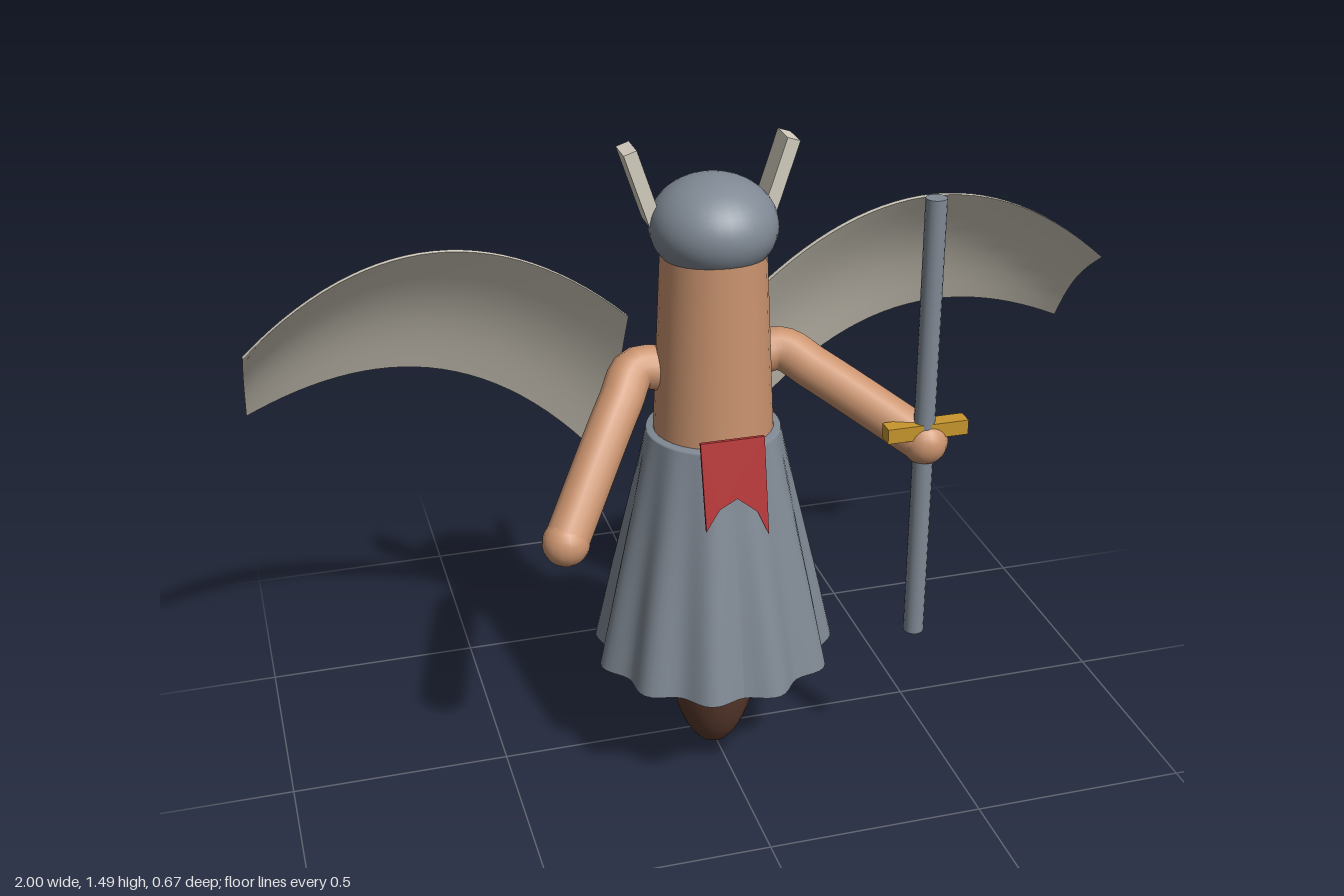
import * as THREE from 'three';

const paint = (name, color, extra = {}) => {
  const m = new THREE.MeshStandardMaterial({ color, ...extra });
  m.name = name;
  return m;
};
const V = (x, y, z) => new THREE.Vector3(x, y, z);

// Move every vertex of a geometry by a rule, then refresh its normals
function reshape(geo, rule, keepNormals = false) {
  const pos = geo.attributes.position;
  const v = new THREE.Vector3();
  for (let i = 0; i < pos.count; i++) {
    v.fromBufferAttribute(pos, i);
    rule(v);
    pos.setXYZ(i, v.x, v.y, v.z);
  }
  if (!keepNormals) geo.computeVertexNormals();
  return geo;
}

export function createModel() {
  const group = new THREE.Group();
  const skin = paint('skin', 0xcc9570);
  const steel = paint('steel', 0x808994);
  const cloth = paint('skirt cloth', 0x808994, { side: THREE.DoubleSide });
  const cream = paint('cream', 0xd5cfc1);
  const red = paint('red cloth', 0xb43234, { side: THREE.DoubleSide });
  const gold = paint('gold', 0xc8962e);
  const brown = paint('dark brown', 0x5a3a2d);
  const CX = -0.006, CZ = 0.058;

  const add = (name, geo, mat, x = 0, y = 0, z = 0) => {
    const mesh = new THREE.Mesh(geo, mat);
    mesh.name = name;
    mesh.position.set(x, y, z);
    group.add(mesh);
    return mesh;
  };

  // Rounded base below the skirt
  add('base', new THREE.SphereGeometry(1, 24, 18), brown, CX, 0.29, CZ).scale.set(0.109, 0.29, 0.113);

  // Torso, narrowing sideways towards the top
  add('torso', reshape(new THREE.CylinderGeometry(0.128, 0.13, 0.48, 32, 6), v => {
    v.x *= 0.97 - v.y * 0.34;
  }, true), skin, CX, 1.04, CZ);

  // Helmet: flattened dome cut off at the brow
  add('helmet', new THREE.SphereGeometry(1, 32, 18, 0, Math.PI * 2, 0, 2.15), steel, CX, 1.31, CZ)
    .scale.set(0.139, 0.11, 0.146);

  // Flat helmet horns
  for (const s of [-1, 1]) {
    add('horn', new THREE.BoxGeometry(0.03, 0.17, 0.07), cream, CX + s * 0.151, 1.4, 0.02)
      .rotation.z = -s * 0.32;
  }

  // Skirt with folds that deepen towards the hem
  const profile = [[0.125, 0.842], [0.15, 0.84], [0.151, 0.835], [0.187, 0.66], [0.228, 0.47], [0.265, 0.285], [0.267, 0.275]];
  add('skirt', reshape(new THREE.LatheGeometry(
    profile.map(p => new THREE.Vector2(...p)).reverse(), 110), v => {
    const a = Math.atan2(v.x, v.z);
    const depth = 0.014 * Math.max(0, (0.84 - v.y) / 0.565);
    const k = 1 - depth * Math.cos(11 * a) / Math.hypot(v.x, v.z);
    v.x *= k;
    v.z *= k;
  }), cloth, CX, 0, CZ);

  // Swallow-tailed cloth at the waist, leaning out with the skirt
  const tail = new THREE.Shape([[-0.08, 0.875], [-0.077, 0.68], [-0.045, 0.725], [-0.004, 0.745],
    [0.04, 0.71], [0.064, 0.655], [0.064, 0.875]].map(p => new THREE.Vector2(...p)));
  add('waistCloth', reshape(new THREE.ExtrudeGeometry(tail, { depth: 0.008, bevelEnabled: false }), v => {
    v.z += 0.208 + (0.875 - v.y) * 0.19;
  }), red);

  // Arms with rounded hands
  const arm = (name, pts) => {
    const curve = new THREE.CatmullRomCurve3(pts);
    add(name, new THREE.TubeGeometry(curve, 28, 0.05, 14), skin);
    const hand = pts[pts.length - 1];
    add(name + 'Hand', new THREE.SphereGeometry(0.052, 16, 12), skin, hand.x, hand.y, hand.z);
  };
  arm('rightArm', [V(-0.08, 0.97, 0.035), V(-0.175, 0.985, 0.035), V(-0.225, 0.93, 0.085), V(-0.385, 0.695, 0.24)]);
  arm('leftArm', [V(0.07, 0.98, 0.035), V(0.155, 0.995, 0.035), V(0.22, 0.96, 0.09), V(0.41, 0.845, 0.275)]);

  // Staff with a gold crossguard
  add('staff', new THREE.CylinderGeometry(0.023, 0.023, 1.035, 16), steel, 0.405, 0.888, 0.283);
  add('crossguard', new THREE.BoxGeometry(0.185, 0.034, 0.038), gold, 0.407, 0.88, 0.285);

  // Arched wings: a thin slab bent between an upper and a lower edge
  const wing = (name, inner, tip, dy, z0, z1) => {
    const geo = new THREE.BoxGeometry(1, 1, 1, 28, 8, 1);
    add(name, reshape(geo, p => {
      const u = p.x + 0.5, v = p.y + 0.5, w = p.z;
      const s = tip > 0 ? u : 1 - u; // 0 at the body, 1 at the tip
      const top = 1.265 - 0.78 * (s - 0.5) ** 2;
      const d = s - 0.63;
      const low = 0.915 - (0.669 - 0.24 * d) * d * d;
      const bulge = 0.015 * Math.sin(Math.PI * v);
      p.set(inner + (tip - inner) * s, low + (top - low) * v + dy + bulge,
        z1 + (z0 - z1) * v - bulge + w * 0.014);
    }), cream);
  };
  wing('leftWing', 0.135, 1, 0, -0.11, -0.33);
  wing('rightWing', -0.16, -1, -0.012, -0.094, -0.314);

  return group;
}
